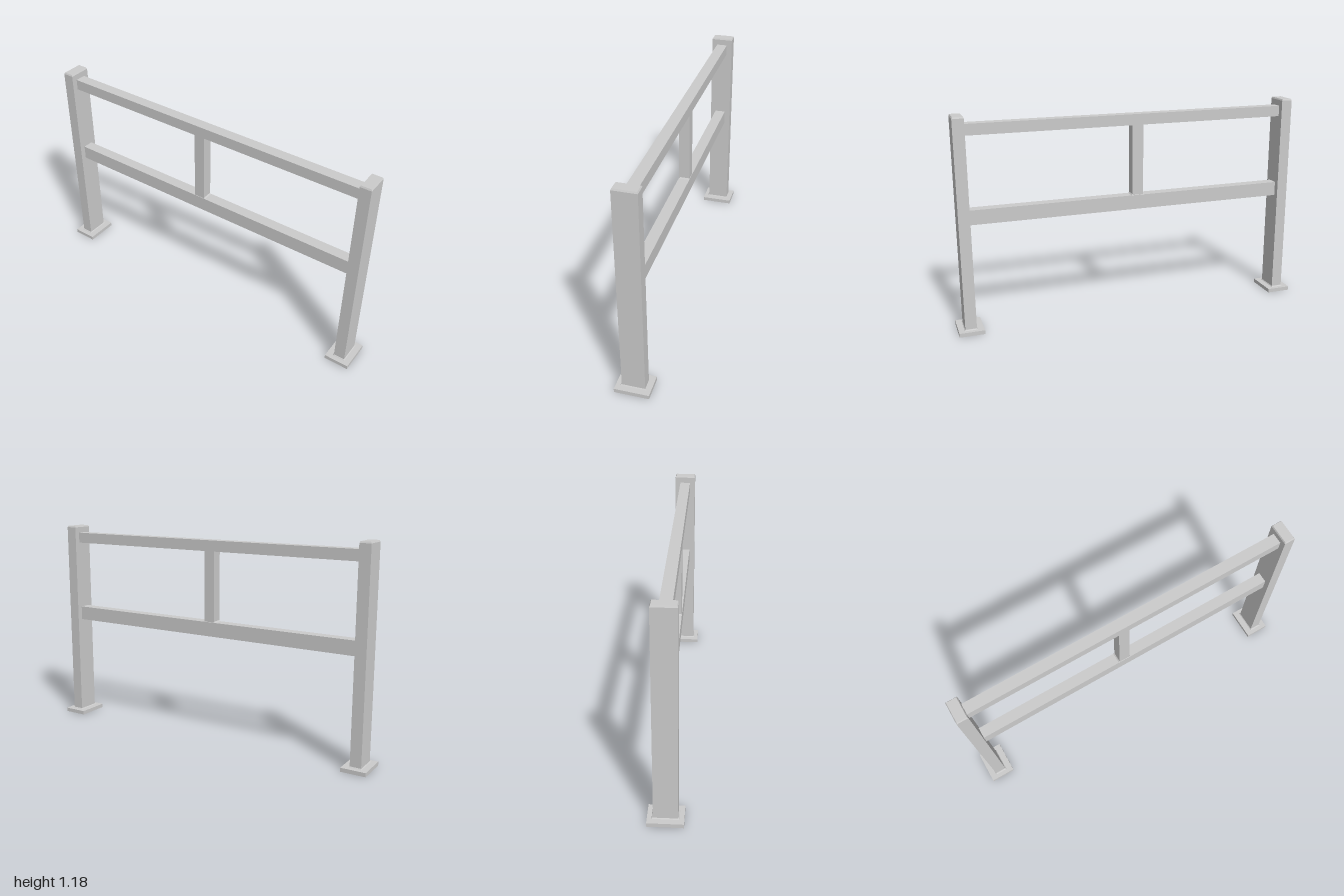
import * as THREE from 'three';

const material = new THREE.MeshStandardMaterial({ color: 0xcccccc, flatShading: true });

// Box from y0 to y1; the top may be inset on every side to form a chamfer.
function block(name, x, y0, y1, width, depth, inset = 0) {
  const geometry = new THREE.BoxGeometry(width, y1 - y0, depth);
  const p = geometry.attributes.position;
  for (let i = 0; i < p.count; i++) {
    if (p.getY(i) > 0) {
      p.setX(i, p.getX(i) - Math.sign(p.getX(i)) * inset);
      p.setZ(i, p.getZ(i) - Math.sign(p.getZ(i)) * inset);
    }
  }
  geometry.computeVertexNormals();
  const mesh = new THREE.Mesh(geometry, material);
  mesh.name = name;
  mesh.position.set(x, (y0 + y1) / 2, 0);
  return mesh;
}

export function createModel() {
  const group = new THREE.Group();
  group.name = 'railing';

  // End posts with base plates, weld seams and chamfered caps
  for (const [side, s] of [['left', 1], ['right', -1]]) {
    const x = s * 0.933;
    group.add(
      block(side + 'BasePlate', s * 0.9315, 0, 0.022, 0.137, 0.184),
      block(side + 'PostWeld', x, 0.022, 0.027, 0.07, 0.138, 0.004),
      block(side + 'Post', x, 0.022, 1.168, 0.062, 0.123),
      block(side + 'PostCap', x, 1.168, 1.176, 0.062, 0.123, 0.004)
    );
  }

  // Horizontal rails between the posts
  group.add(
    block('topRail', 0, 1.075, 1.135, 1.806, 0.061),
    block('lowerRail', 0, 0.6, 0.68, 1.806, 0.061)
  );

  // Short upright joining the rails, slightly off centre
  group.add(
    block('middleUpright', -0.033, 0.68, 1.075, 0.062, 0.058),
    block('middleUprightWeld', -0.033, 0.68, 0.687, 0.074, 0.061, 0.006)
  );

  return group;
}
